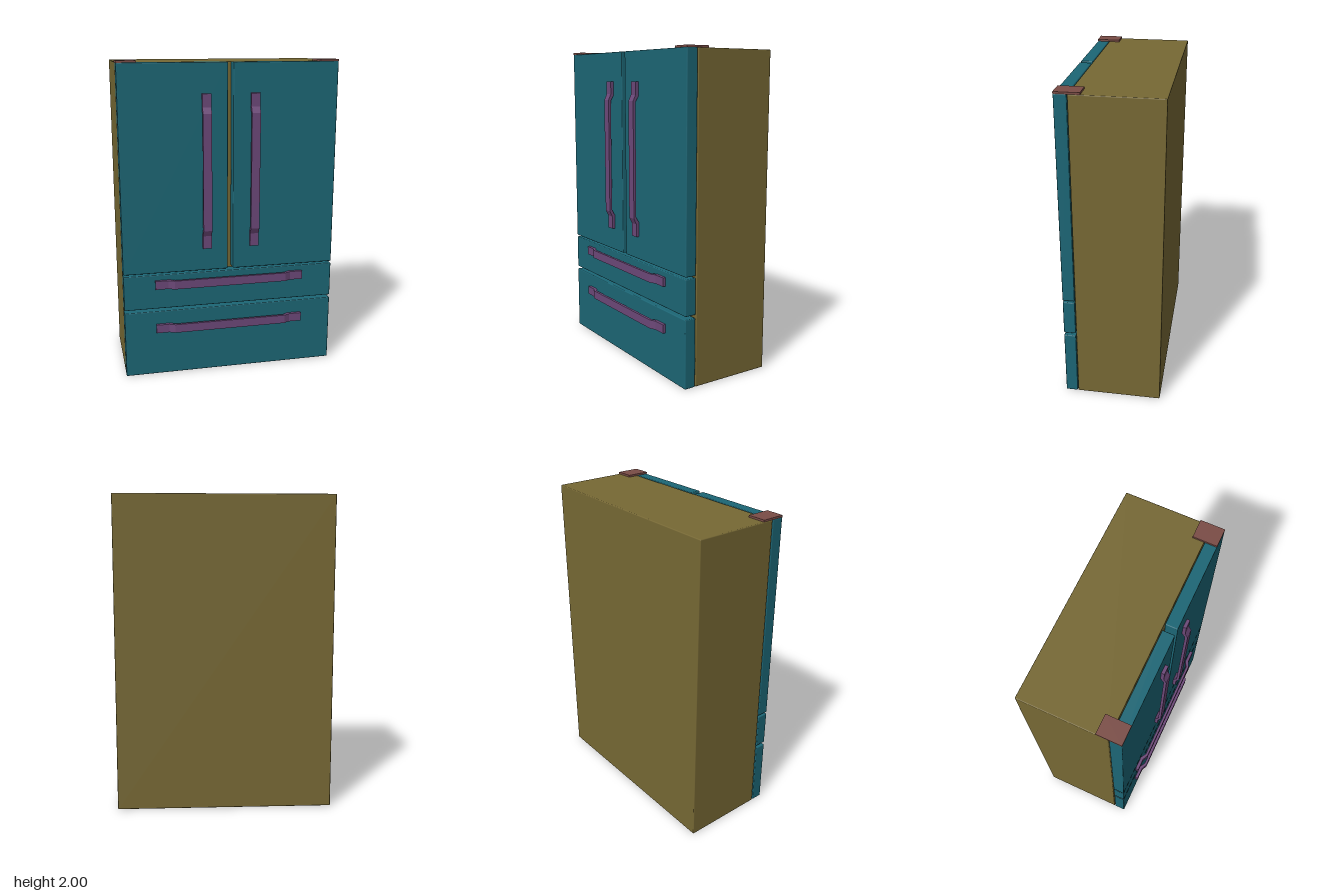
import * as THREE from 'three';
import { RoundedBoxGeometry } from 'three/addons/geometries/RoundedBoxGeometry.js';

const material = (color) => new THREE.MeshStandardMaterial({ color });

// Softly rounded box given by its min and max corners
function box(name, min, max, mat, radius = 0.006) {
  const size = max.map((v, i) => v - min[i]);
  const geometry = radius
    ? new RoundedBoxGeometry(...size, 2, radius)
    : new THREE.BoxGeometry(...size);
  const mesh = new THREE.Mesh(geometry, mat);
  mesh.name = name;
  mesh.position.set(...max.map((v, i) => (v + min[i]) / 2));
  return mesh;
}

// Flat bar with end pads on the door and a raised grip, running along x
function handleGeometry(length, width) {
  const h = length / 2;
  const outline = [
    [-h, 0], [-h + 0.09, 0], [-h + 0.126, 0.021],
    [h - 0.126, 0.021], [h - 0.09, 0], [h, 0],
    [h, 0.02], [h - 0.082, 0.02], [h - 0.119, 0.038],
    [-h + 0.119, 0.038], [-h + 0.082, 0.02], [-h, 0.02],
  ].map(([x, y]) => new THREE.Vector2(x, y));
  const geometry = new THREE.ExtrudeGeometry(new THREE.Shape(outline), { depth: width, bevelEnabled: false });
  geometry.translate(0, 0, -width / 2);
  geometry.rotateX(Math.PI / 2); // profile height now points to +z
  return geometry;
}

export function createModel() {
  const group = new THREE.Group();
  const cabinetMat = material(0x766834);
  const doorMat = material(0x1c6675);
  const handleMat = material(0x6c4878);
  const hingeMat = material(0x7a4c46);
  const W = 0.685, TOP = 1.988, BACK = 0.211, FRONT = 0.285;

  // Cabinet
  group.add(box('cabinet', [-W, 0.003, -0.324], [W, TOP, 0.207], cabinetMat));

  // Two upper doors
  group.add(box('leftDoor', [0.017, 0.69, BACK], [W, TOP, FRONT], doorMat));
  group.add(box('rightDoor', [-W, 0.69, BACK], [-0.017, TOP, FRONT], doorMat));

  // Two full-width drawers
  group.add(box('upperDrawer', [-W, 0.453, BACK], [W, 0.678, FRONT], doorMat));
  group.add(box('lowerDrawer', [-W, 0.003, BACK], [W, 0.434, FRONT], doorMat));

  // Handles: upright on the doors, level on the drawers
  const barGeometry = handleGeometry(0.966, 0.055);
  const addHandle = (name, x, y, upright) => {
    const mesh = new THREE.Mesh(barGeometry, handleMat);
    mesh.name = name;
    mesh.position.set(x, y, FRONT);
    if (upright) mesh.rotation.z = Math.PI / 2;
    group.add(mesh);
  };
  addHandle('leftDoorHandle', 0.152, 1.321, true);
  addHandle('rightDoorHandle', -0.152, 1.321, true);
  addHandle('upperDrawerHandle', -0.003, 0.616, false);
  addHandle('lowerDrawerHandle', -0.003, 0.321, false);

  // Hinge covers on the top corners
  group.add(box('leftHingeCover', [0.567, TOP, 0.137], [W, 2, FRONT], hingeMat, 0));
  group.add(box('rightHingeCover', [-W, TOP, 0.137], [-0.567, 2, FRONT], hingeMat, 0));

  return group;
}
